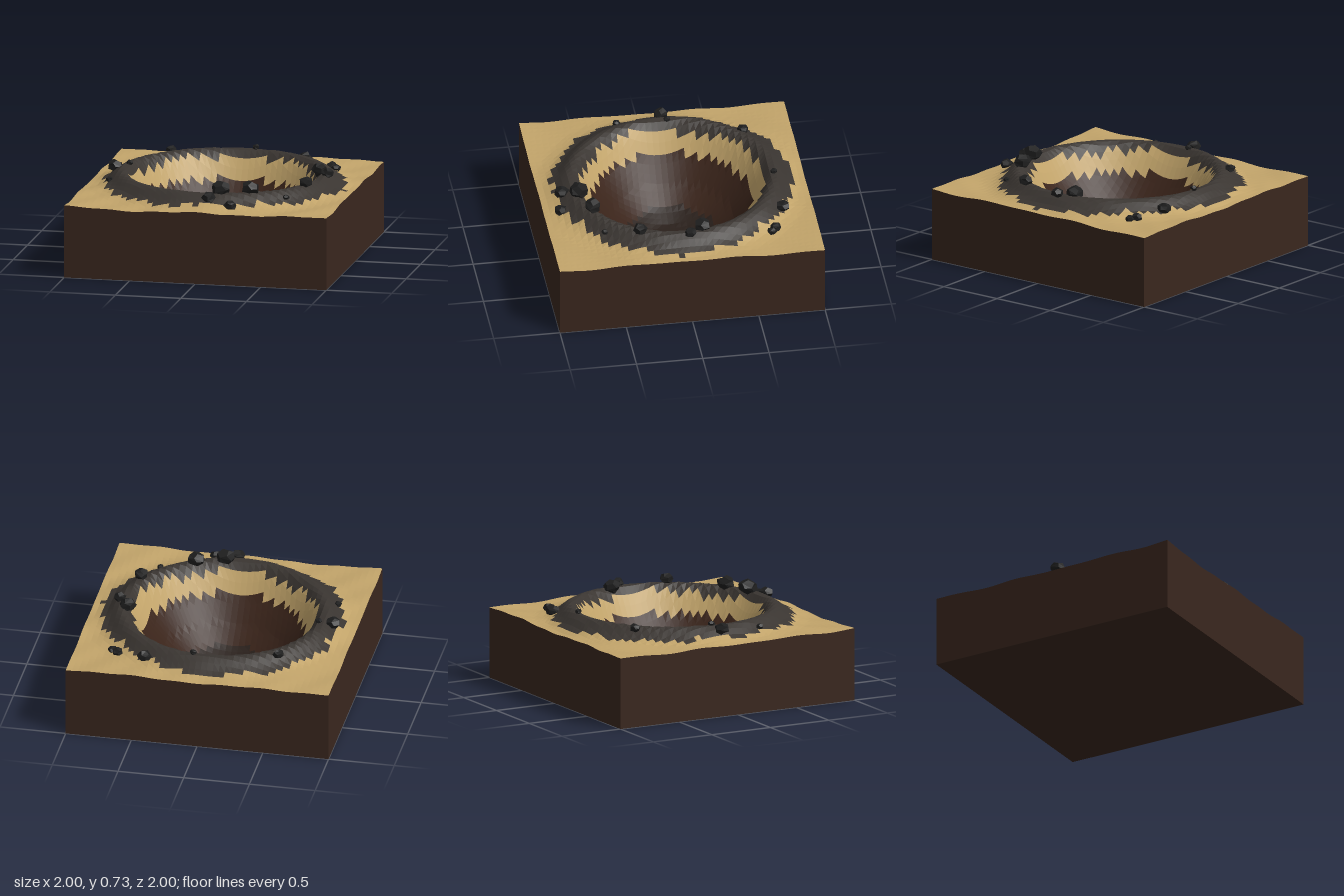
import * as THREE from 'three';

const N = 44; // terrain cells per side
const COLORS = { sand: 0xc2a46a, scorchedRim: 0x3a3531, craterSlope: 0x3a241a, craterFloor: 0x2a201b, soil: 0x3a271e, rock: 0x1f1f1f };

// Crater profile: radius, height
const PROFILE = [[0, 0.06], [0.18, 0.08], [0.31, 0.14], [0.45, 0.26], [0.59, 0.43], [0.67, 0.57],
  [0.72, 0.635], [0.76, 0.65], [0.8, 0.635], [0.87, 0.58], [0.94, 0.55], [1.02, 0.54], [1.5, 0.54]];

function profileHeight(r) {
  let i = 0;
  while (i < PROFILE.length - 2 && r > PROFILE[i + 1][0]) i++;
  const [r0, h0] = PROFILE[i], [r1, h1] = PROFILE[i + 1];
  return THREE.MathUtils.lerp(h0, h1, (r - r0) / (r1 - r0));
}

// Gentle dunes outside the rim
function height(x, z) {
  const r = Math.hypot(x, z);
  const dunes = 0.006 * Math.sin(7 * x + 2 * z) + 0.005 * Math.sin(9 * z - 3 * x + 1) + 0.003 * Math.sin(19 * x + 14 * z);
  return profileHeight(r) + dunes * THREE.MathUtils.smoothstep(r, 0.72, 0.95);
}

// Ground type of a cell, with a slightly ragged outer edge
function cellType(x, z) {
  const r = Math.hypot(x, z);
  const a = Math.atan2(z, x);
  const outer = 0.9 + 0.015 * Math.sin(3 * a + 1) + 0.015 * Math.sin(11 * a) + 0.012 * Math.sin(29 * a);
  if (r < 0.32) return 'craterFloor';
  if (r < 0.6) return 'craterSlope';
  if (r < 0.685 + 0.008 * Math.sin(5 * a)) return 'sand';
  return r < outer ? 'scorchedRim' : 'sand';
}

function seededRandom(seed) {
  return () => {
    seed = (seed * 16807) % 2147483647;
    return seed / 2147483647;
  };
}

function meshFrom(positions, name, color) {
  const geometry = new THREE.BufferGeometry();
  geometry.setAttribute('position', new THREE.Float32BufferAttribute(positions, 3));
  geometry.computeVertexNormals();
  const mesh = new THREE.Mesh(geometry, new THREE.MeshStandardMaterial({ color, flatShading: true }));
  mesh.name = name;
  return mesh;
}

function pushQuad(out, a, b, c, d) {
  out.push(...a, ...b, ...c, ...a, ...c, ...d);
}

// Irregular boulder made by moving shared corners in and out
function createRock(x, z, size, y, seed) {
  const random = seededRandom(seed * 7919 + 13);
  const geometry = new THREE.DodecahedronGeometry(size, 0);
  const p = geometry.attributes.position;
  const factors = new Map();
  for (let i = 0; i < p.count; i++) {
    const key = [p.getX(i), p.getY(i), p.getZ(i)].map((v) => Math.round(v * 1e4)).join();
    if (!factors.has(key)) factors.set(key, 0.88 + 0.24 * random());
    const f = factors.get(key);
    p.setXYZ(i, p.getX(i) * f, p.getY(i) * f * 0.8, p.getZ(i) * f);
  }
  geometry.computeVertexNormals();
  const rock = new THREE.Mesh(geometry, new THREE.MeshStandardMaterial({ color: COLORS.rock, flatShading: true }));
  rock.position.set(x, y, z);
  rock.rotation.y = random() * Math.PI * 2;
  rock.name = 'rock';
  return rock;
}

export function createModel() {
  const model = new THREE.Group();
  model.name = 'craterTile';
  const at = (i) => -1 + (2 * i) / N;
  const point = (i, j) => [at(i), height(at(i), at(j)), at(j)];

  // Terrain surface, sorted into one mesh per ground type
  const cells = { sand: [], scorchedRim: [], craterSlope: [], craterFloor: [] };
  for (let i = 0; i < N; i++) {
    for (let j = 0; j < N; j++) {
      const type = cellType(at(i + 0.5), at(j + 0.5));
      pushQuad(cells[type], point(i, j), point(i, j + 1), point(i + 1, j + 1), point(i + 1, j));
    }
  }
  for (const type in cells) model.add(meshFrom(cells[type], type, COLORS[type]));

  // Soil walls following the terrain edge, and the underside
  const soil = [];
  const border = [
    (k) => point(k, N), // front
    (k) => point(N, N - k), // left
    (k) => point(N - k, 0), // back
    (k) => point(0, k), // right
  ];
  for (const edge of border) {
    for (let k = 0; k < N; k++) {
      const a = edge(k), b = edge(k + 1);
      pushQuad(soil, [a[0], 0, a[2]], [b[0], 0, b[2]], b, a);
    }
  }
  pushQuad(soil, [-1, 0, -1], [1, 0, -1], [1, 0, 1], [-1, 0, 1]);
  model.add(meshFrom(soil, 'soilBlock', COLORS.soil));

  // Rocks thrown around the rim: x, z, size
  const rocks = new THREE.Group();
  rocks.name = 'rocks';
  [[-0.54, -0.62, 0.043], [0.45, -0.77, 0.055], [0.08, -0.755, 0.026], [0.67, -0.68, 0.042],
    [0.715, -0.645, 0.036], [-0.84, -0.045, 0.058], [-0.735, -0.075, 0.026], [-0.81, 0.295, 0.028],
    [0.705, -0.12, 0.065], [0.79, -0.02, 0.048], [0.7, 0.345, 0.053], [0.605, 0.6, 0.025],
    [0.345, 0.65, 0.068], [0.135, 0.725, 0.072], [0.07, 0.845, 0.055], [0.24, 0.88, 0.048],
  ].forEach(([x, z, size], i) => rocks.add(createRock(x, z, size, height(x, z) + size * 0.45, i + 1)));
  model.add(rocks);

  return model;
}
